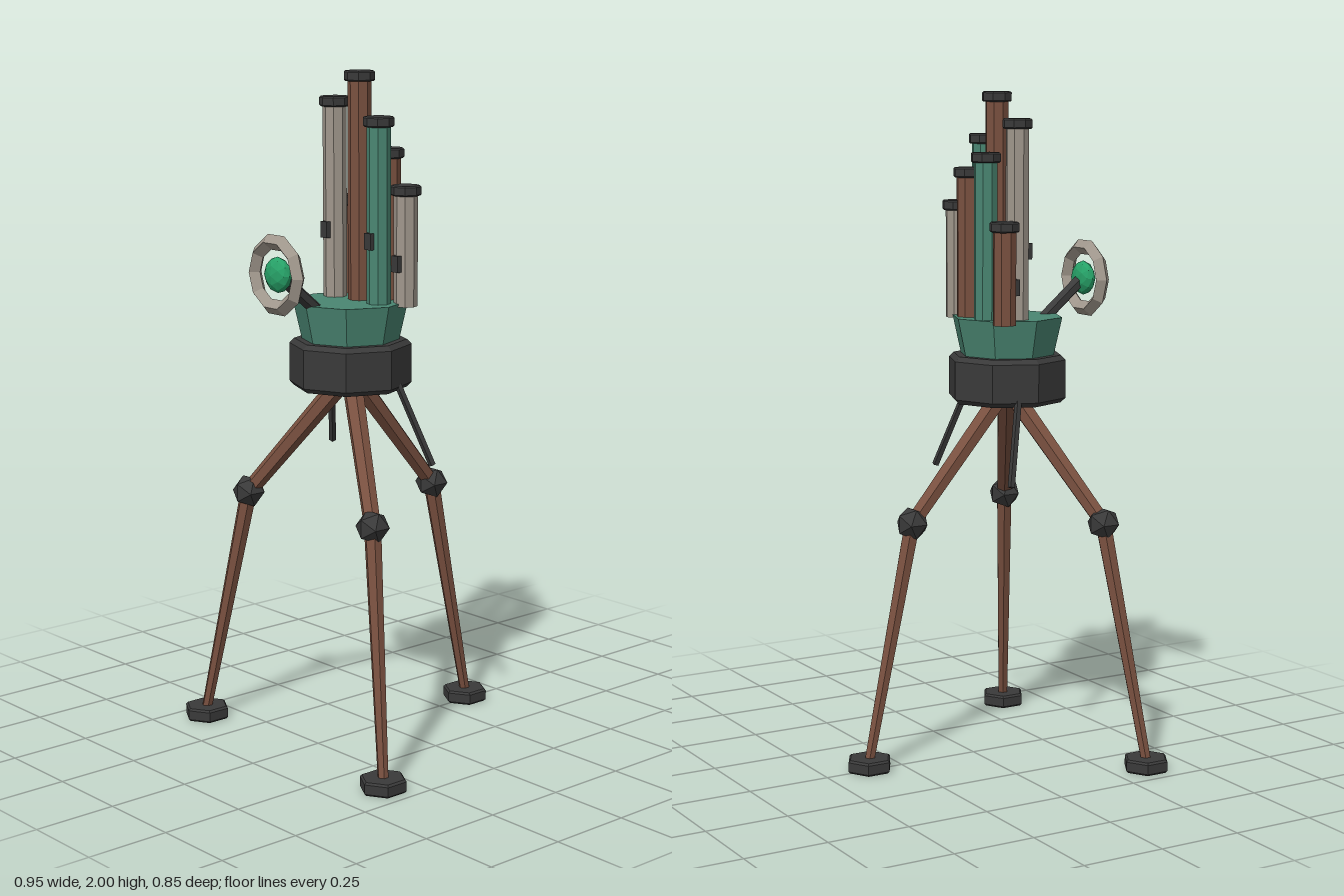
import * as THREE from 'three';

const paint = (name, color) => {
  const m = new THREE.MeshStandardMaterial({ color, flatShading: true });
  m.name = name;
  return m;
};

export function createModel() {
  const charcoal = paint('charcoal', 0x3a3a3a);
  const brown = paint('copper brown', 0x7a5140);
  const teal = paint('teal', 0x4a8672);
  const grey = paint('warm grey', 0xa0978c);
  const emerald = paint('emerald', 0x27a268);

  const model = new THREE.Group();
  model.name = 'pipeTripod';
  const CZ = 0.117; // tripod axis

  const add = (name, geometry, material, x = 0, y = 0, z = 0, parent = model) => {
    const mesh = new THREE.Mesh(geometry, material);
    mesh.name = name;
    mesh.position.set(x, y, z);
    parent.add(mesh);
    return mesh;
  };

  // Solid of revolution with bevelled rims, standing on y = 0
  const bevelledDisc = (radius, height, bevel, sides) => new THREE.LatheGeometry([
    [0, 0], [radius - bevel, 0], [radius, bevel],
    [radius, height - bevel], [radius - bevel, height], [0, height],
  ].map(([x, y]) => new THREE.Vector2(x, y)), sides);

  // Aim a mesh built along y from point a to point b
  const span = (name, a, b, makeGeometry, material, parent = model) => {
    const dir = b.clone().sub(a);
    const mid = a.clone().add(b).multiplyScalar(0.5);
    const mesh = add(name, makeGeometry(dir.length()), material, mid.x, mid.y, mid.z, parent);
    mesh.quaternion.setFromUnitVectors(new THREE.Vector3(0, 1, 0), dir.normalize());
    return mesh;
  };

  // Three jointed legs, one at the back and two at the front
  for (let i = 0; i < 3; i++) {
    const angle = Math.PI + (i * Math.PI * 2) / 3;
    const at = (r, y) => new THREE.Vector3(Math.sin(angle) * r, y, CZ + Math.cos(angle) * r);
    const leg = new THREE.Group();
    leg.name = 'leg';
    model.add(leg);
    const hip = at(0.02, 1.1), knee = at(0.327, 0.735), ankle = at(0.476, 0.03);
    span('upperLeg', hip, knee, (l) => new THREE.CylinderGeometry(0.025, 0.031, l, 6), brown, leg);
    span('lowerLeg', knee, ankle, (l) => new THREE.CylinderGeometry(0.016, 0.026, l, 6), brown, leg);
    add('knee', new THREE.IcosahedronGeometry(0.051), charcoal, knee.x, knee.y, knee.z, leg);
    add('foot', bevelledDisc(0.07, 0.04, 0.006, 6), charcoal, ankle.x, 0, ankle.z, leg);
  }

  // Octagonal base with a flared bowl on top
  add('base', bevelledDisc(0.18, 0.142, 0.014, 8), charcoal, 0, 1.08, CZ);
  add('bowl', new THREE.CylinderGeometry(0.169, 0.142, 0.12, 8), teal, 0, 1.275, CZ);

  // Capped pipes: x, z, top height, colour, has clip
  const pipes = [
    [0, 0.08, 2.0, brown, false],
    [-0.097, 0.092, 1.923, grey, true],
    [0.097, 0.092, 1.875, teal, true],
    [-0.051, 0.012, 1.825, teal, false],
    [0.051, 0.012, 1.778, brown, false],
    [-0.138, 0.024, 1.627, brown, true],
    [0.138, 0.024, 1.677, grey, true],
  ];
  const floor = 1.335;
  for (const [x, z, top, material, clip] of pipes) {
    const pipe = new THREE.Group();
    pipe.name = 'pipe';
    model.add(pipe);
    const height = top - floor;
    add('tube', new THREE.CylinderGeometry(0.035, 0.035, height, 8), material, x, top - 0.01 - height / 2, z, pipe);
    add('cap', bevelledDisc(0.045, 0.03, 0.004, 8), charcoal, x, top - 0.03, z, pipe);
    if (clip) {
      add('clip', new THREE.BoxGeometry(0.027, 0.048, 0.02), charcoal, x, floor + height * 0.34, z + 0.034, pipe);
    }
  }

  // Forward arm carrying a ring with a lens
  span('arm', new THREE.Vector3(0, 1.32, 0.245), new THREE.Vector3(0, 1.437, 0.385),
    (l) => new THREE.CylinderGeometry(0.02, 0.02, l, 6), charcoal);
  add('ring', new THREE.TorusGeometry(0.097, 0.023, 4, 10), grey, 0, 1.437, 0.394);
  add('lens', new THREE.IcosahedronGeometry(0.052, 1), emerald, 0, 1.437, 0.388).scale.z = 0.55;

  // Thin rods hanging from the base
  for (const side of [-1, 1]) {
    span('hangingRod', new THREE.Vector3(side * 0.15, 1.1, 0.065), new THREE.Vector3(side * 0.225, 0.86, -0.004),
      (l) => new THREE.BoxGeometry(0.015, l, 0.015), charcoal);
  }

  return model;
}
